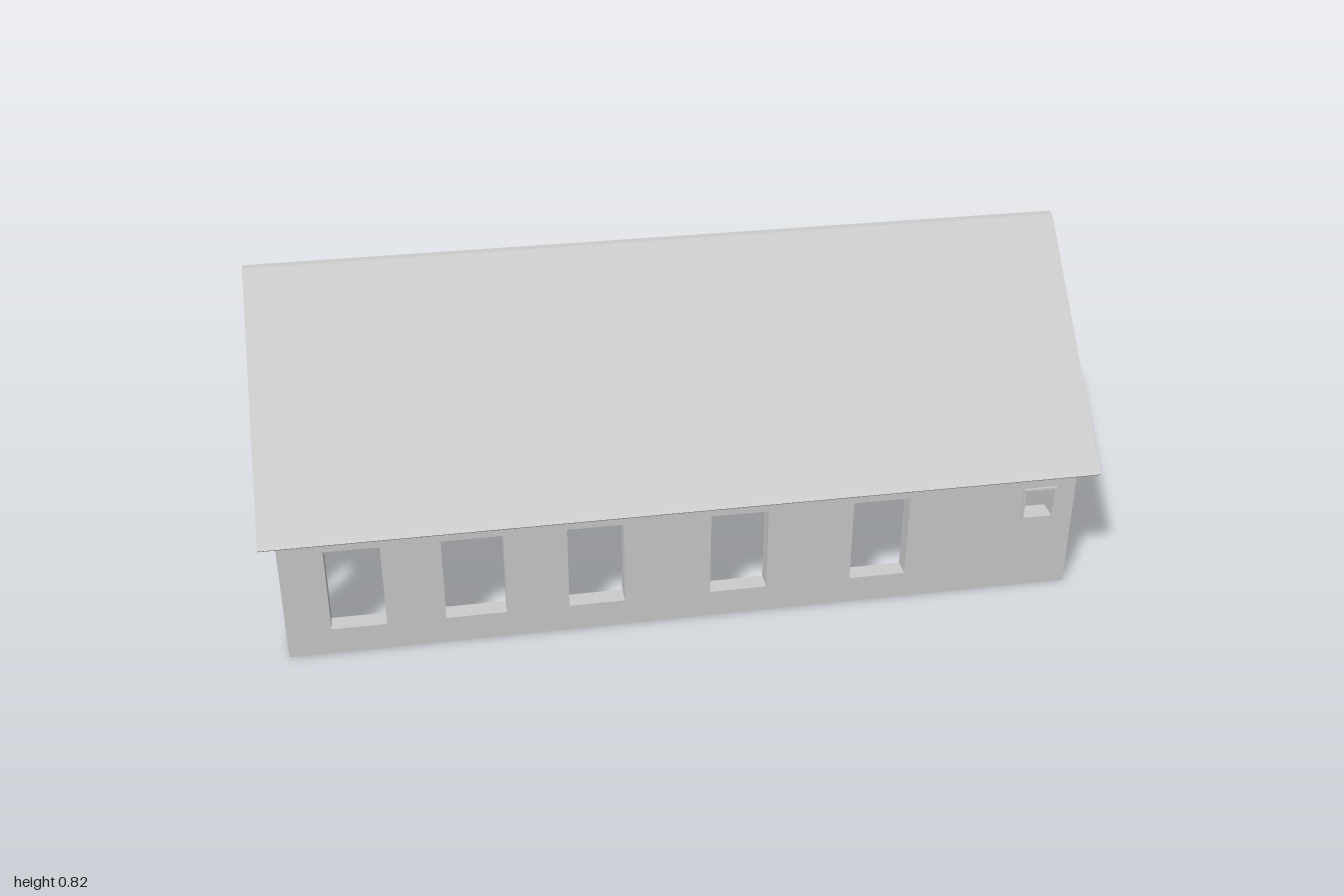
import * as THREE from 'three';
import { mergeGeometries } from 'three/addons/utils/BufferGeometryUtils.js';

const MAT = new THREE.MeshStandardMaterial({ color: 0xcccccc, side: THREE.DoubleSide });
const T = 0.045;                  // wall thickness
const X0 = -0.965, X1 = 0.96, Z = 0.44;
const EAVE = 0.35, APEX = 0.795;
const ROOM = 0.73;                // partition between hall and entrance rooms

const poly = (pts) => new THREE.Shape(pts.map(([a, b]) => new THREE.Vector2(a, b)));
// openings are [left, right, bottom, top]
const rect = ([a, b, c, d]) => poly([[a, c], [b, c], [b, d], [a, d]]);

function add(parent, name, geometry) {
  const mesh = new THREE.Mesh(geometry, MAT);
  mesh.name = name;
  parent.add(mesh);
  return mesh;
}

function box(parent, name, x0, x1, y0, y1, z0, z1) {
  const g = new THREE.BoxGeometry(x1 - x0, y1 - y0, z1 - z0);
  return add(parent, name, g.translate((x0 + x1) / 2, (y0 + y1) / 2, (z0 + z1) / 2));
}

function extrude(shape, holes, depth) {
  holes.forEach((h) => shape.holes.push(rect(h)));
  return new THREE.ExtrudeGeometry(shape, { depth, bevelEnabled: false });
}

// Extrude a (-z, y) outline along x
const extrudeX = (shape, holes, x, depth) =>
  extrude(shape, holes, depth).rotateY(Math.PI / 2).translate(x, 0, 0);

// Gable outline with an optional doorway cut up from the ground: [z0, z1, top]
function gableShape(door) {
  const pts = [[-Z, 0]];
  if (door) {
    const [z0, z1, top] = door;
    pts.push([-z1, 0], [-z1, top], [-z0, top], [-z0, 0]);
  }
  pts.push([Z, 0], [Z, EAVE], [0, APEX], [-Z, EAVE]);
  return poly(pts);
}

// Grid of thin battens in the xy plane, leaving the openings free
function lattice(u0, u1, v0, v1, pitch, holes) {
  const w = 0.008, parts = [];
  const nu = Math.round((u1 - u0) / pitch), nv = Math.round((v1 - v0) / pitch);
  const du = (u1 - u0) / nu, dv = (v1 - v0) / nv;
  const strip = (a, b, c, d) => {
    if (holes.some((h) => a < h[1] && b > h[0] && c < h[3] && d > h[2])) return;
    parts.push(new THREE.BoxGeometry(b - a, d - c, 0.006).translate((a + b) / 2, (c + d) / 2, 0));
  };
  for (let i = 0; i <= nu; i++) {
    for (let j = 0; j <= nv; j++) {
      const u = u0 + i * du, v = v0 + j * dv;
      if (j < nv) strip(u - w / 2, u + w / 2, v, v + dv);
      if (i < nu) strip(u, u + du, v - w / 2, v + w / 2);
    }
  }
  return mergeGeometries(parts);
}

export function createModel() {
  const house = new THREE.Group();
  house.name = 'house';

  const tall = (a, b) => [a, b, 0.07, 0.29];
  const small = [0.833, 0.905, 0.205, 0.28];
  const sides = [
    { name: 'front', s: 1, holes: [tall(-0.86, -0.73), tall(-0.59, -0.445), tall(-0.295, -0.16),
      tall(0.05, 0.19), tall(0.4, 0.54), small] },
    { name: 'back', s: -1, holes: [tall(-0.86, -0.73), tall(-0.575, -0.44), tall(-0.295, -0.16),
      tall(0.155, 0.285), tall(0.495, 0.635), small] },
  ];

  for (const { name, s, holes } of sides) {
    // Long wall with its windows
    const wall = extrude(rect([X0 + T, X1 - T, 0, EAVE]), holes, T);
    add(house, name + 'Wall', wall.translate(0, 0, s > 0 ? Z - T : -Z));

    // Slightly proud frame around the small window
    const [a, b, c, d] = small, f = 0.006;
    const frame = extrude(rect([a - f, b + f, c - f, d + f]), [small], 0.02);
    add(house, name + 'SmallWindowFrame', frame.translate(0, 0, s > 0 ? Z - 0.015 : -Z - 0.005));

    // Battens on the inner wall face
    add(house, name + 'WallBattens', lattice(X0 + T, ROOM, 0.03, 0.345, 0.045, holes))
      .position.z = s * (Z - T - 0.003);

    // Battens under the roof slope
    const slope = add(house, name + 'RoofBattens', lattice(X0 + T, ROOM, 0, 0.54, 0.09, []));
    slope.rotation.x = -s * Math.PI / 4;
    slope.position.set(0, 0.37, s * 0.41);

    // Boxed eave ends at both gables
    for (const [x0, x1] of [[-0.995, X0], [X1, 0.995]]) {
      const zs = [s * 0.385, s * 0.47].sort((p, q) => p - q);
      box(house, name + 'EaveEnd', x0, x1, 0.332, 0.35, zs[0], zs[1]);
    }
  }

  // Left gable with the doorway
  add(house, 'entranceGable', extrudeX(gableShape([-0.027, 0.167, 0.265]), [], X1 - T, T));

  // Right gable with three windows, outline coordinate is -z
  const gableHoles = [tall(0.25, 0.367), tall(-0.315, -0.2), [-0.063, 0.073, 0.37, 0.525]];
  add(house, 'windowGable', extrudeX(gableShape(), gableHoles, X0, T));
  const gableBattens = lattice(-Z + T, Z - T, 0.03, 0.345, 0.045, gableHoles);
  add(house, 'gableBattens', gableBattens.rotateY(Math.PI / 2).translate(X0 + T + 0.003, 0, 0));

  // Entrance passage between two small rooms
  add(house, 'partition', extrudeX(gableShape([-0.008, 0.133, 0.265]), [], ROOM, 0.03));
  const inner = X1 - T;
  box(house, 'passageWall', ROOM + 0.03, inner, 0, 0.3, 0.167, 0.187);
  box(house, 'passageWall', ROOM + 0.03, inner, 0, 0.3, -0.047, -0.027);
  box(house, 'roomFloor', ROOM + 0.03, inner, 0, 0.01, 0.187, Z - T);
  box(house, 'roomFloor', ROOM + 0.03, inner, 0, 0.01, -Z + T, -0.047);
  box(house, 'entranceCeiling', ROOM + 0.03, inner, 0.3, 0.315, -Z + T, Z - T);

  // Roof slab with flared eaves and gutter lip
  const half = [[0.01, 0.82], [0.44, 0.383], [0.482, 0.348], [0.49, 0.342], [0.476, 0.331],
    [0.44, 0.331], [0.44, EAVE]];
  const mirrored = half.map(([a, b]) => [-a, b]).reverse();
  add(house, 'roof', extrudeX(poly([...half, [0, APEX], ...mirrored]), [], -1, 2));

  return house;
}
